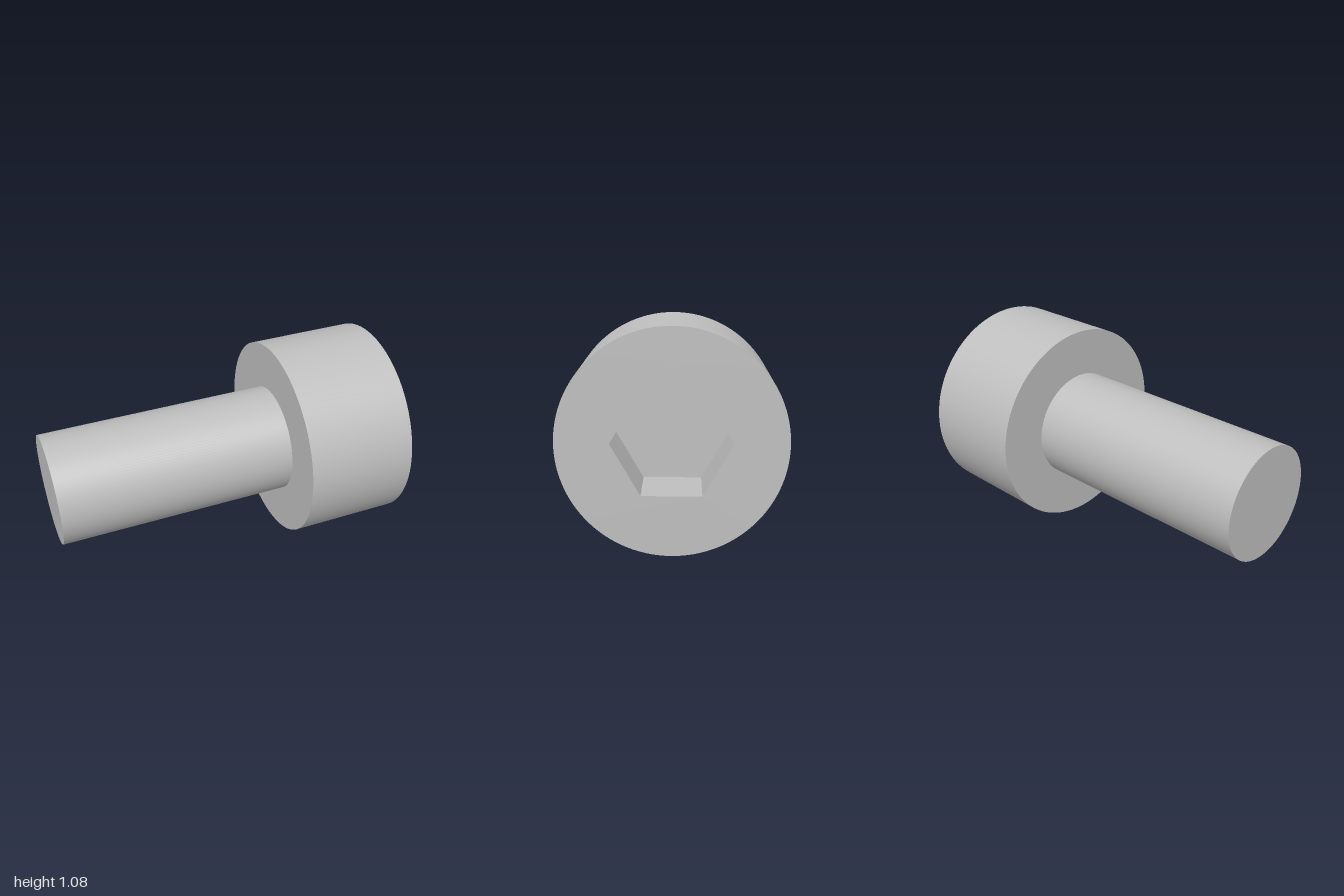
import * as THREE from 'three';

const SEG = 128;
const HEAD_R = 0.538, HEAD_LEN = 0.583;
const SHAFT_R = 0.291, SHAFT_LEN = 1.248;
const HEX_R = 0.284, HEX_DEPTH = 0.292;

// Open tube along z, from z0 to z1
function tube(radius, z0, z1, sides = SEG) {
  return new THREE.CylinderGeometry(radius, radius, z1 - z0, sides, 1, true, Math.PI / 2)
    .rotateX(Math.PI / 2)
    .translate(0, 0, (z0 + z1) / 2);
}

export function createModel() {
  const steel = new THREE.MeshStandardMaterial({ color: 0xbfbfbf });
  steel.name = 'steel grey';

  const model = new THREE.Group();
  model.name = 'socketHeadScrew';
  const head = new THREE.Group();
  head.name = 'head';
  const socket = new THREE.Group();
  socket.name = 'hexSocket';
  const shaft = new THREE.Group();
  shaft.name = 'shaft';

  const add = (parent, name, geometry) => {
    const mesh = new THREE.Mesh(geometry, steel);
    mesh.name = name;
    parent.add(mesh);
  };

  // Head: z = 0 is the shoulder, the front face carries the hexagonal opening
  const face = new THREE.Shape().absarc(0, 0, HEAD_R, 0, Math.PI * 2);
  const corners = Array.from({ length: 6 }, (_, i) =>
    new THREE.Vector2(HEX_R * Math.cos(i * Math.PI / 3), HEX_R * Math.sin(i * Math.PI / 3)));
  face.holes.push(new THREE.Path(corners).closePath());
  add(head, 'headSide', tube(HEAD_R, 0, HEAD_LEN));
  add(head, 'headFace', new THREE.ShapeGeometry(face, SEG).translate(0, 0, HEAD_LEN));
  add(head, 'headShoulder', new THREE.RingGeometry(SHAFT_R, HEAD_R, SEG).rotateY(Math.PI));

  // Socket: mirroring the hexagonal tube turns its faces inward
  const floorZ = HEAD_LEN - HEX_DEPTH;
  const walls = tube(HEX_R, -HEAD_LEN, -floorZ, 6).scale(1, 1, -1).toNonIndexed();
  walls.computeVertexNormals();
  add(socket, 'socketWalls', walls);
  add(socket, 'socketFloor', new THREE.CircleGeometry(HEX_R, 6).translate(0, 0, floorZ));

  // Plain shaft with a flat end
  add(shaft, 'shaftSide', tube(SHAFT_R, -SHAFT_LEN, 0));
  add(shaft, 'shaftEnd', new THREE.CircleGeometry(SHAFT_R, SEG).rotateY(Math.PI).translate(0, 0, -SHAFT_LEN));

  // Lay the screw down, turned so the head points to the front left
  head.add(socket);
  const screw = new THREE.Group();
  screw.name = 'screw';
  screw.add(head, shaft);
  screw.rotation.y = Math.PI / 3;
  screw.position.set(0.226, HEAD_R, 0.059);
  model.add(screw);
  return model;
}
